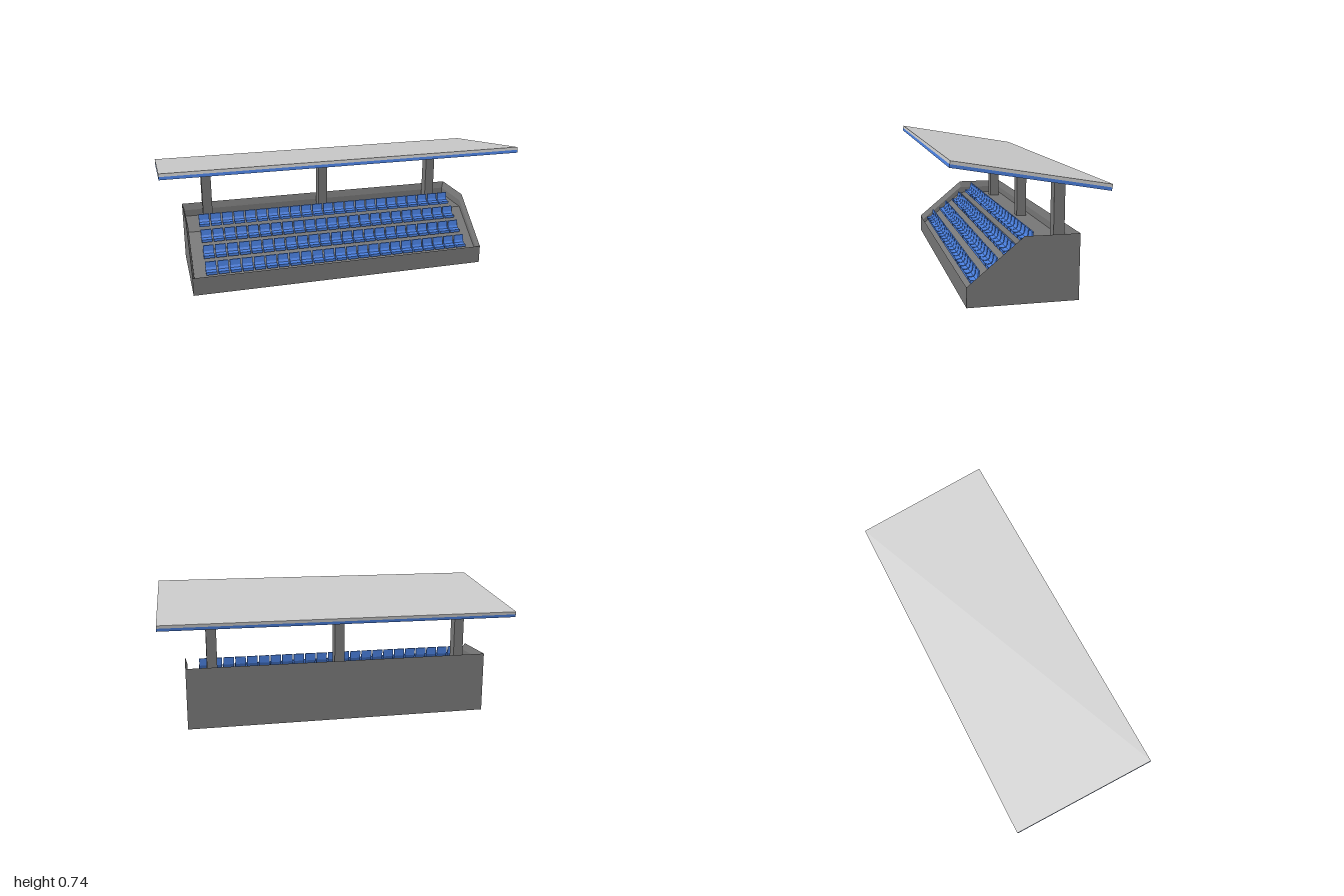
import * as THREE from 'three';

const material = (color) => new THREE.MeshStandardMaterial({ color, flatShading: true });

// Extrude a (z, y) side profile across x, centred on x = 0
function extrudeSide(points, width) {
  const shape = new THREE.Shape(points.map(([z, y]) => new THREE.Vector2(z, y)));
  const geometry = new THREE.ExtrudeGeometry(shape, { depth: width, bevelEnabled: false });
  return geometry.rotateY(-Math.PI / 2).translate(width / 2, 0, 0);
}

// Hollow stand: loops running up the outside, over the bevelled rim and down to the sloped floor
function standGeometry() {
  const ring = (x, [zFront, yFront], [zMid, yMid], [zBack, yBack]) => [
    [x, yFront, zFront], [x, yMid, zMid], [x, yBack, zBack],
    [-x, yBack, zBack], [-x, yMid, zMid], [-x, yFront, zFront],
  ];
  const rings = [
    ring(0.863, [0.289, 0], [0, 0], [-0.286, 0]),
    ring(0.863, [0.289, 0.105], [0, 0.344], [-0.286, 0.344]),
    ring(0.851, [0.278, 0.074], [0, 0.304], [-0.275, 0.304]),
    ring(0.851, [0.278, 0.045], [0, 0.265], [-0.275, 0.265]),
  ];
  const positions = [];
  const quad = (a, b, c, d) => positions.push(...a, ...b, ...c, ...a, ...c, ...d);
  for (let r = 0; r < rings.length - 1; r++) {
    for (let i = 0; i < 6; i++) {
      const j = (i + 1) % 6;
      quad(rings[r][i], rings[r][j], rings[r + 1][j], rings[r + 1][i]);
    }
  }
  const floor = rings[rings.length - 1];
  const base = rings[0];
  quad(floor[0], floor[1], floor[4], floor[5]);
  quad(floor[1], floor[2], floor[3], floor[4]);
  quad(base[5], base[4], base[1], base[0]);
  quad(base[4], base[3], base[2], base[1]);
  const geometry = new THREE.BufferGeometry();
  geometry.setAttribute('position', new THREE.Float32BufferAttribute(positions, 3));
  geometry.computeVertexNormals();
  return geometry;
}

export function createModel() {
  const model = new THREE.Group();
  model.name = 'grandstand';
  const concrete = material(0x777777);
  const blue = material(0x4a80e0);
  const grey = material(0xcccccc);

  const add = (parent, name, geometry, mat, x = 0, y = 0, z = 0) => {
    const mesh = new THREE.Mesh(geometry, mat);
    mesh.name = name;
    mesh.position.set(x, y, z);
    parent.add(mesh);
    return mesh;
  };

  add(model, 'stand', standGeometry(), concrete);

  // Four rows of bucket seats climbing the slope
  const seat = extrudeSide([
    [0, 0], [0, 0.016], [-0.014, 0.014], [-0.03, 0.018], [-0.038, 0.03],
    [-0.042, 0.062], [-0.05, 0.062], [-0.047, 0.02], [-0.038, 0],
  ], 0.06);
  const seatsPerRow = 23;
  for (let row = 0; row < 4; row++) {
    const seatRow = new THREE.Group();
    seatRow.name = 'seatRow';
    seatRow.position.set(0, 0.098 + row * 0.0615, 0.255 - row * 0.0915);
    for (let i = 0; i < seatsPerRow; i++) {
      add(seatRow, 'seat', seat, blue, (i - (seatsPerRow - 1) / 2) * 0.0685);
    }
    model.add(seatRow);
  }

  // Posts, cut at the top to the pitch of the roof
  const post = extrudeSide([[-0.243, 0.265], [-0.185, 0.265], [-0.185, 0.612], [-0.243, 0.602]], 0.056);
  for (const x of [-0.718, 0, 0.718]) add(model, 'post', post, concrete, x);

  // Pitched roof: blue underside panel with a grey sheet on top
  const roof = new THREE.Group();
  roof.name = 'roof';
  roof.position.set(0, 0.6585, 0);
  roof.rotation.x = -Math.atan(0.134 / 0.78);
  const slab = new THREE.BoxGeometry(2, 0.0162, 0.788);
  add(roof, 'roofUnderside', slab, blue, 0, -0.0081);
  add(roof, 'roofTop', slab, grey, 0, 0.0081);
  model.add(roof);

  return model;
}
